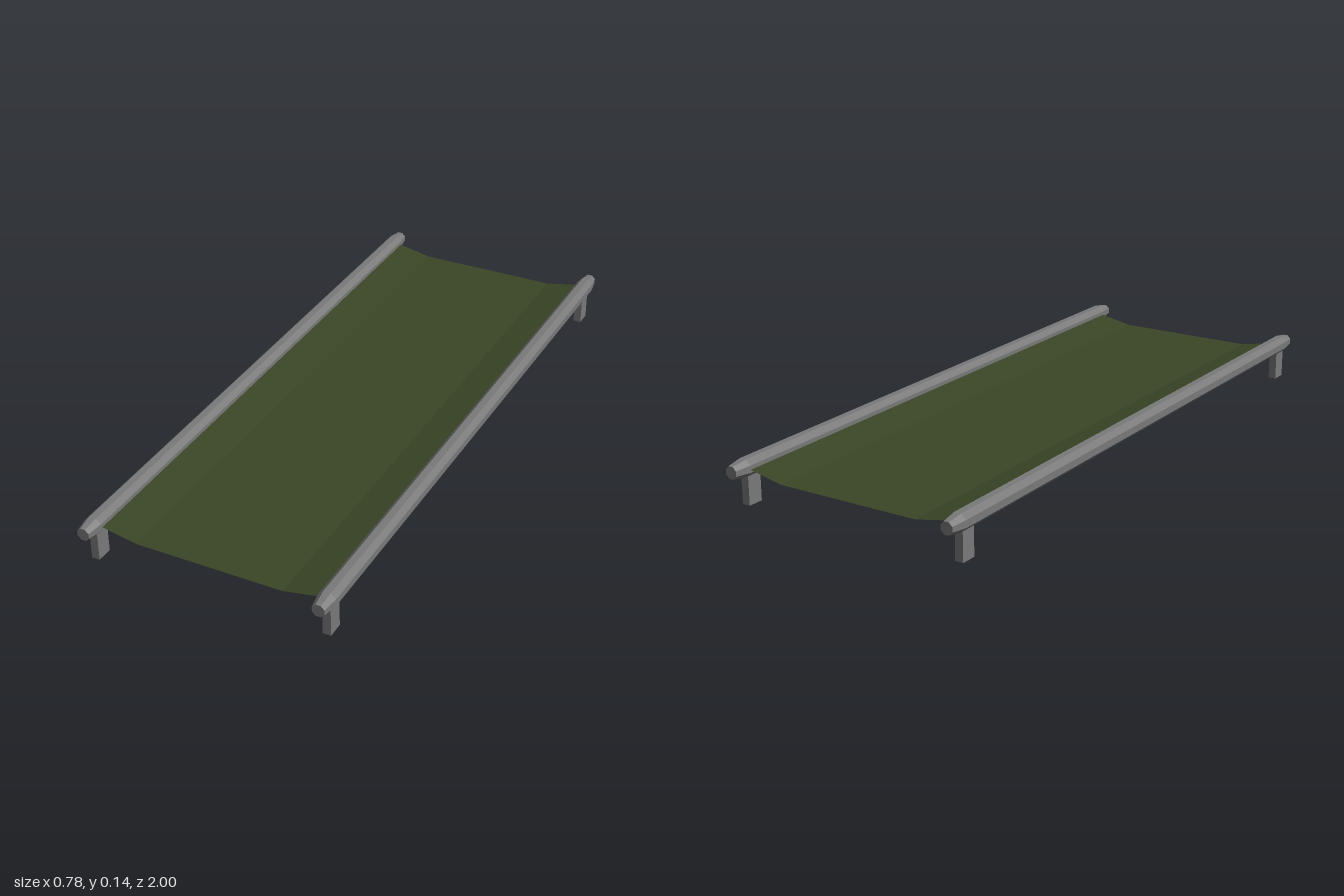
import * as THREE from 'three';

const RAIL_X = 0.3625, RAIL_Y = 0.112;

export function createModel() {
  const group = new THREE.Group();
  const metal = new THREE.MeshStandardMaterial({ color: 0x797979, flatShading: true });
  metal.name = 'grey metal';
  const cloth = new THREE.MeshStandardMaterial({ color: 0x3a4526, flatShading: true, side: THREE.DoubleSide });
  cloth.name = 'olive canvas';

  const add = (name, geometry, material, x, y, z) => {
    const mesh = new THREE.Mesh(geometry, material);
    mesh.name = name;
    mesh.position.set(x, y, z);
    group.add(mesh);
  };

  // Octagonal carrying pole with tapered ends, flat side up
  const k = 1 / Math.cos(Math.PI / 8);
  const profile = [[0, -1], [0.0185, -1], [0.026, -0.95], [0.026, 0.95], [0.0185, 1], [0, 1]]
    .map(([r, y]) => new THREE.Vector2(r * k, y));
  const pole = new THREE.LatheGeometry(profile, 8, Math.PI / 8).rotateX(Math.PI / 2);

  // Square foot, reaching up into the pole
  const foot = new THREE.BoxGeometry(0.025, 0.1, 0.05);

  for (const [side, s] of [['left', 1], ['right', -1]]) {
    add(side + 'Pole', pole, metal, s * RAIL_X, RAIL_Y, 0);
    add(side + 'FrontFoot', foot, metal, s * RAIL_X, 0.05, 0.93);
    add(side + 'BackFoot', foot, metal, s * RAIL_X, 0.05, -0.922);
  }

  // Sagging sheet: a plane whose inner columns are moved down
  const section = [[-0.345, 0.112], [-0.227, 0.089], [0.227, 0.089], [0.345, 0.112]];
  const sheet = new THREE.PlaneGeometry(1, 1.895, 3, 1).rotateX(-Math.PI / 2);
  const pos = sheet.attributes.position;
  for (let i = 0; i < pos.count; i++) {
    const [x, y] = section[i % 4];
    pos.setX(i, x);
    pos.setY(i, y);
  }
  sheet.computeVertexNormals();
  add('canvasSheet', sheet, cloth, 0, 0, -0.0025);

  return group;
}
